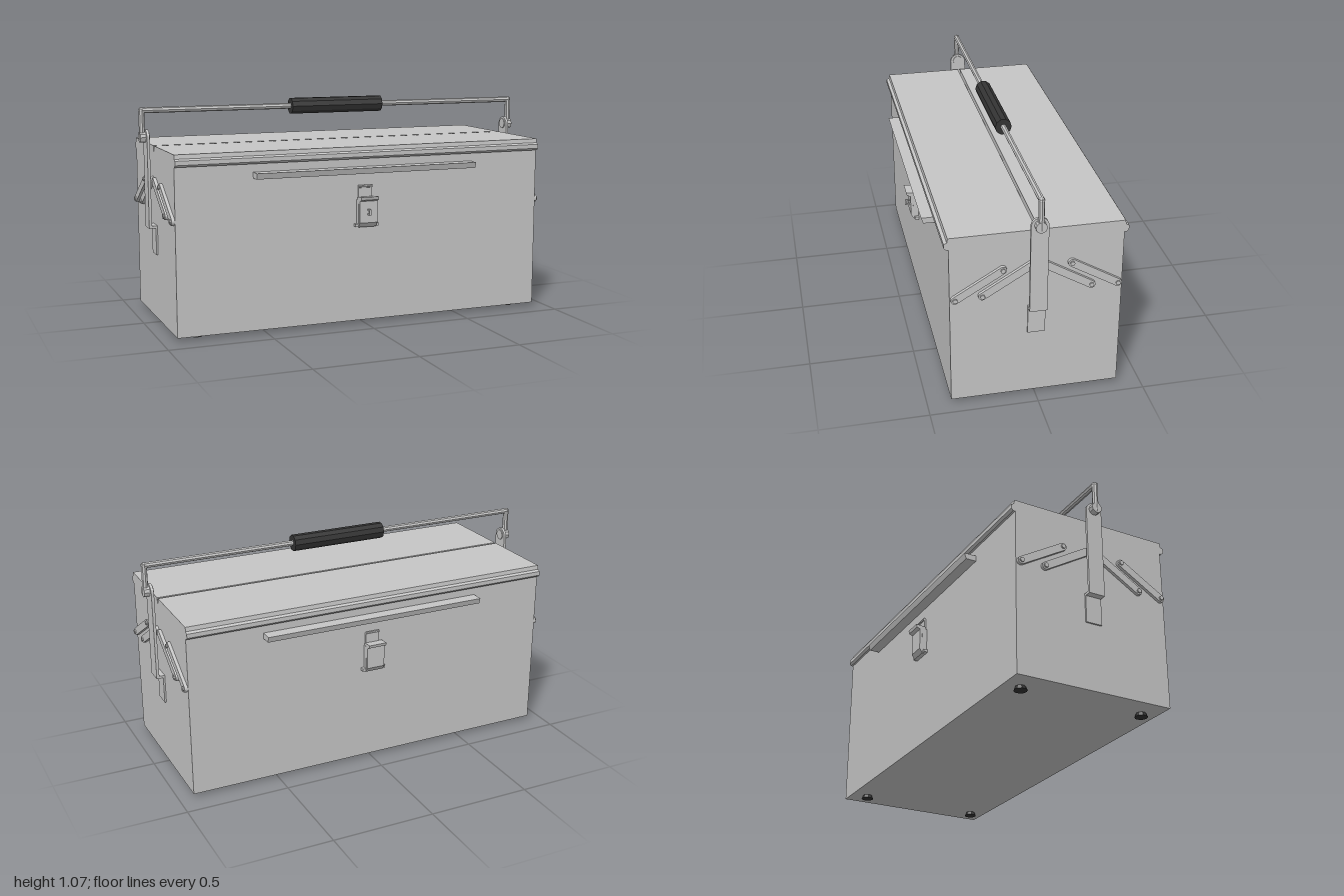
import * as THREE from 'three';

const steel = new THREE.MeshStandardMaterial({ color: 0xc6c6c6, flatShading: true });
steel.name = 'steel';
const rubber = new THREE.MeshStandardMaterial({ color: 0x343434, flatShading: true });
rubber.name = 'blackRubber';

function add(parent, name, geometry, material = steel) {
  const mesh = new THREE.Mesh(geometry, material);
  mesh.name = name;
  parent.add(mesh);
  return mesh;
}

// Box given by its limits on each axis
function box(parent, name, x0, x1, y0, y1, z0, z1, material) {
  const g = new THREE.BoxGeometry(x1 - x0, y1 - y0, z1 - z0);
  g.translate((x0 + x1) / 2, (y0 + y1) / 2, (z0 + z1) / 2);
  return add(parent, name, g, material);
}

// Outline in (z, y), extruded along x from x0 to x1
function sideExtrude(parent, name, shape, x0, x1) {
  const g = new THREE.ExtrudeGeometry(shape, { depth: x1 - x0, bevelEnabled: false, curveSegments: 6 });
  g.rotateY(-Math.PI / 2).translate(x1, 0, 0);
  return add(parent, name, g);
}

function polygon(points) {
  return new THREE.Shape(points.map(([z, y]) => new THREE.Vector2(z, y)));
}

// Flat bar with round ends between two (z, y) points
function capsule(za, ya, zb, yb, r) {
  const a = Math.atan2(yb - ya, zb - za);
  const s = new THREE.Shape();
  s.absarc(zb, yb, r, a - Math.PI / 2, a + Math.PI / 2, false);
  s.absarc(za, ya, r, a + Math.PI / 2, a + Math.PI * 1.5, false);
  s.closePath();
  return s;
}

function rod(parent, name, axis, r, length, x, y, z, sides, material) {
  const g = new THREE.CylinderGeometry(r, r, length, sides);
  if (axis === 'x') g.rotateZ(Math.PI / 2);
  if (axis === 'z') g.rotateX(Math.PI / 2);
  g.translate(x, y, z);
  return add(parent, name, g, material);
}

// Lid flange, rolled edge and latch for one long side (built at +z)
function longSide(isFront) {
  const g = new THREE.Group();
  g.name = isFront ? 'frontFittings' : 'backFittings';
  sideExtrude(g, 'rolledEdge', polygon([[0.385, 0.862], [0.393, 0.862], [0.396, 0.842], [0.41, 0.835],
    [0.41, 0.815], [0.4, 0.805], [0.385, 0.805]]), -0.93, 0.93);
  sideExtrude(g, 'pullFlange', polygon([[0.385, 0.766], [0.45, 0.766], [0.441, 0.738], [0.385, 0.738]]), -0.56, 0.56);

  const latch = new THREE.Group();
  latch.name = 'latch';
  g.add(latch);
  sideExtrude(latch, 'latchLever', polygon([[0.395, 0.622], [0.448, 0.627], [0.444, 0.612], [0.427, 0.604],
    [0.427, 0.5], [0.412, 0.478], [0.402, 0.478], [0.414, 0.505], [0.414, 0.6], [0.395, 0.608]]), -0.045, 0.045);
  box(latch, 'latchFoot', -0.06, 0.06, 0.48, 0.494, 0.38, 0.41);
  for (const s of [-1, 1]) box(latch, 'latchCheek', s * 0.042 - 0.004, s * 0.042 + 0.004, 0.49, 0.61, 0.38, 0.415);
  box(latch, 'keeperPlate', -0.04, 0.03, 0.62, 0.67, 0.385, 0.398);
  rod(latch, 'keeperBar', 'x', 0.007, 0.07, -0.005, 0.672, 0.397, 8);
  if (isFront) {
    const s = polygon([[0.42, 0.538], [0.45, 0.538], [0.45, 0.566], [0.42, 0.566]]);
    s.holes.push(polygon([[0.427, 0.545], [0.443, 0.545], [0.443, 0.559], [0.427, 0.559]]));
    sideExtrude(latch, 'lockStaple', s, -0.005, 0.005);
  }
  return g;
}

// Handle upright and linkage arms for one end (built at +x)
function endSide(name) {
  const g = new THREE.Group();
  g.name = name;
  // Upright strap, stepped out from the wall
  box(g, 'uprightFoot', 0.925, 0.938, 0.34, 0.472, -0.04, 0.04);
  box(g, 'uprightStep', 0.925, 0.97, 0.47, 0.482, -0.04, 0.04);
  const s = new THREE.Shape();
  s.moveTo(-0.04, 0.475);
  s.lineTo(0.04, 0.475);
  s.lineTo(0.04, 0.9);
  s.absarc(0, 0.9, 0.04, 0, Math.PI, false);
  s.closePath();
  sideExtrude(g, 'upright', s, 0.957, 0.97);

  // Bent end of the handle with its pivot
  rod(g, 'handlePivot', 'x', 0.026, 0.045, 0.975, 0.905, 0, 10);
  rod(g, 'handleDrop', 'y', 0.014, 0.15, 0.985, 0.965, 0, 8);
  add(g, 'handleBend', new THREE.SphereGeometry(0.015, 8, 6)).position.set(0.985, 1.032, 0);

  // Two parallel arms towards the front and two towards the back
  for (const m of [1, -1]) {
    sideExtrude(g, 'innerArm', capsule(m * 0.025, 0.695, m * 0.246, 0.562, 0.018), 0.925, 0.945);
    sideExtrude(g, 'outerArm', capsule(m * 0.155, 0.683, m * 0.368, 0.556, 0.018), 0.925, 0.945);
    for (const [z, y] of [[0.246, 0.562], [0.155, 0.683], [0.368, 0.556]])
      rod(g, 'armRivet', 'x', 0.011, 0.012, 0.946, y, m * z, 8);
  }
  return g;
}

export function createModel() {
  const model = new THREE.Group();
  model.name = 'cantileverToolbox';

  // Body with two lid halves and a narrow seam
  box(model, 'body', -0.93, 0.93, 0.018, 0.835, -0.39, 0.39);
  box(model, 'lidFront', -0.93, 0.93, 0.835, 0.862, 0.006, 0.39);
  box(model, 'lidBack', -0.93, 0.93, 0.835, 0.862, -0.39, -0.006);

  // Fittings on the long sides and the ends
  const back = longSide(false);
  back.rotation.y = Math.PI;
  const right = endSide('rightEnd');
  right.rotation.y = Math.PI;
  model.add(longSide(true), back, endSide('leftEnd'), right);

  // Carrying handle and grip
  rod(model, 'handleBar', 'x', 0.014, 1.97, 0, 1.032, 0, 8);
  rod(model, 'grip', 'x', 0.04, 0.48, 0, 1.032, 0, 10, rubber);

  // Feet, flared at the floor
  for (const x of [-0.82, 0.82])
    for (const z of [-0.31, 0.31]) {
      const foot = new THREE.CylinderGeometry(0.022, 0.031, 0.02, 10);
      add(model, 'foot', foot, rubber).position.set(x, 0.01, z);
    }
  return model;
}
